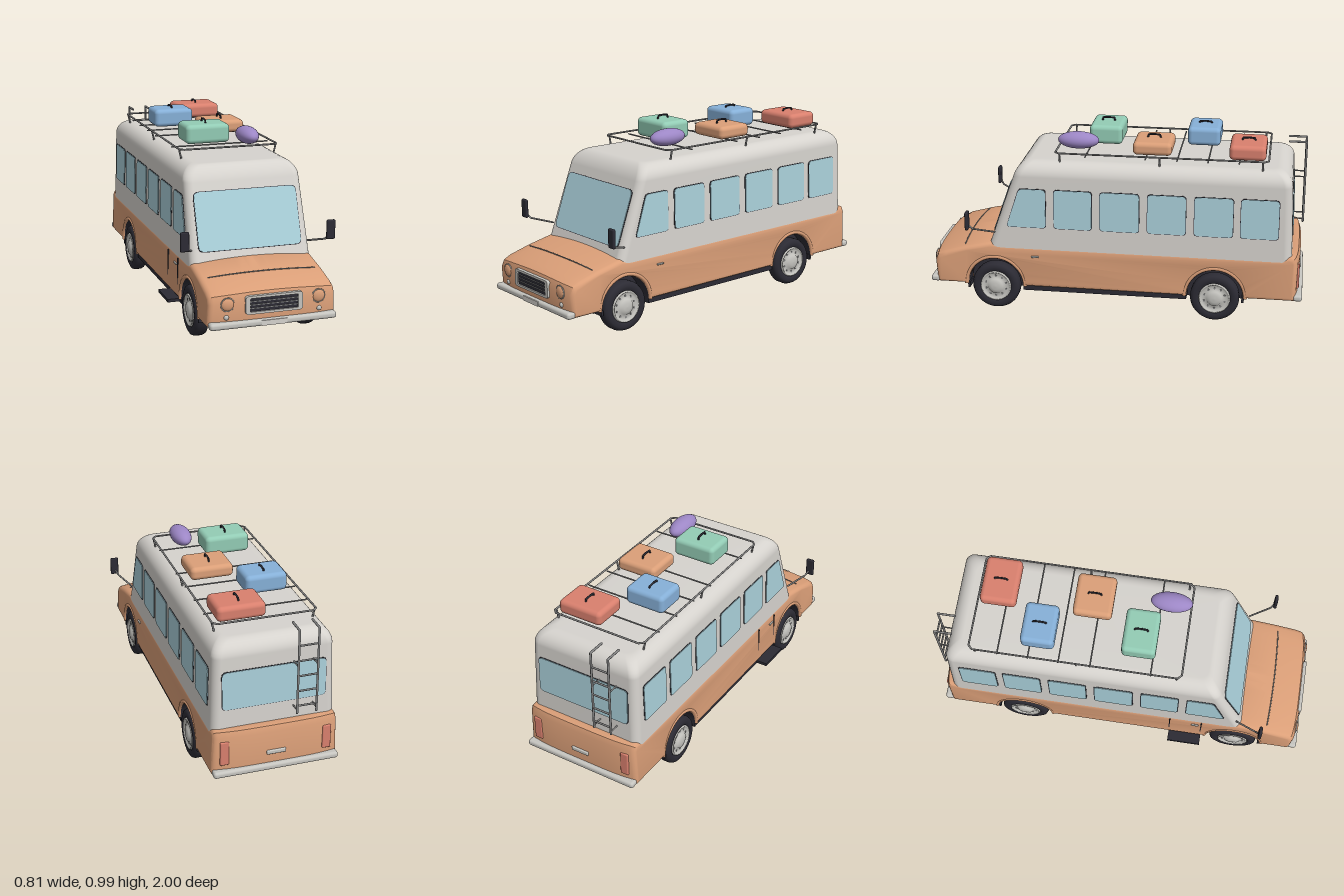
import * as THREE from 'three';
import { toCreasedNormals } from 'three/addons/utils/BufferGeometryUtils.js';
import { RoundedBoxGeometry } from 'three/addons/geometries/RoundedBoxGeometry.js';

const paint = (name, color) => Object.assign(new THREE.MeshStandardMaterial({ color }), { name });
const M = {
  orange: paint('bodyOrange', 0xdb9f78), white: paint('cabinGrey', 0xd6d3ce), glass: paint('glassBlue', 0xaad0da),
  dark: paint('darkRubber', 0x2c2b34), metal: paint('rackMetal', 0x858585), chrome: paint('trimSilver', 0xc6c5c0),
  red: paint('caseRed', 0xd9806e), blue: paint('caseBlue', 0x86b0d8), green: paint('caseGreen', 0x93ccb5),
  purple: paint('bagPurple', 0x9d87c6),
};
M.glass.side = THREE.DoubleSide;
M.dark.side = THREE.DoubleSide;

export function createModel() {
  const root = new THREE.Group();
  root.name = 'camperBus';
  const V = (x, y, z) => new THREE.Vector3(x, y, z);

  const add = (name, geo, mat, x = 0, y = 0, z = 0, parent = root) => {
    const m = new THREE.Mesh(geo, mat);
    m.name = name;
    m.position.set(x, y, z);
    parent.add(m);
    return m;
  };
  const block = (name, mat, size, pos, r = 0, parent = root) =>
    add(name, r ? new RoundedBoxGeometry(...size, 4, r) : new THREE.BoxGeometry(...size), mat, ...pos, parent);
  // Round tube along straight segments through the points
  const pipe = (name, mat, pts, r, closed = false, parent = root) => {
    const path = new THREE.CurvePath();
    const n = closed ? pts.length : pts.length - 1;
    for (let i = 0; i < n; i++) path.add(new THREE.LineCurve3(pts[i], pts[(i + 1) % pts.length]));
    for (const c of path.curves) add(name, new THREE.TubeGeometry(c, 1, r, 8), mat, 0, 0, 0, parent);
    for (const p of pts) add(name + 'Joint', new THREE.SphereGeometry(r, 8, 6), mat, p.x, p.y, p.z, parent);
  };
  // Polygon with rounded corners
  const roundedPoly = (pts, r) => {
    const s = new THREE.Shape(), v = pts.map(p => new THREE.Vector2(...p));
    v.forEach((p, i) => {
      const a = v[(i + v.length - 1) % v.length], b = v[(i + 1) % v.length];
      const p0 = p.clone().add(a.clone().sub(p).setLength(r)), p1 = p.clone().add(b.clone().sub(p).setLength(r));
      i ? s.lineTo(p0.x, p0.y) : s.moveTo(p0.x, p0.y);
      s.quadraticCurveTo(p.x, p.y, p1.x, p1.y);
    });
    return s.closePath();
  };
  const plate = (shape, depth) => new THREE.ExtrudeGeometry(shape, { depth, bevelEnabled: false, curveSegments: 6 });

  // Lower body: side profile with wheel arches, extruded across the width
  const wheelZ = [0.64, -0.54], archY = 0.14;
  const side = new THREE.Shape().moveTo(-0.975, archY);
  for (const z of wheelZ) side.lineTo(-z - 0.15, archY).absarc(-z, archY, 0.15, Math.PI, 0, true);
  [[0.975, 0.14], [0.98, 0.35], [0.97, 0.38], [0.935, 0.385], [0.9, 0.37], [-0.6, 0.37], [-0.66, 0.377],
    [-0.8, 0.347], [-0.93, 0.315], [-0.97, 0.295], [-0.985, 0.26]].forEach(p => side.lineTo(...p));
  const bodyGeo = new THREE.ExtrudeGeometry(side, { depth: 0.61, steps: 12, curveSegments: 16,
    bevelThickness: 0.025, bevelSize: 0.02, bevelOffset: -0.02, bevelSegments: 4 });
  bodyGeo.translate(0, 0, -0.305).rotateY(Math.PI / 2);
  const bp = bodyGeo.attributes.position;
  for (let i = 0; i < bp.count; i++) {
    const x = bp.getX(i), y = bp.getY(i), z = bp.getZ(i), k = (x / 0.33) ** 2;
    if (z > 0.62 && y > 0.24) bp.setY(i, y + 0.018 * (1 - k) * Math.min(1, (y - 0.24) / 0.06));
    if (Math.abs(z) > 0.9) bp.setZ(i, z - Math.sign(z) * 0.018 * k * k);
    bp.setX(i, x * (1 - 0.03 * (y - 0.14) / 0.23));
  }
  add('lowerBody', toCreasedNormals(bodyGeo, 0.6), M.orange);

  // Upper cabin: rounded rectangles stacked upward, sloping at the front
  const zFront = y => 0.66 - 0.355 * (y - 0.4), zBack = y => -0.935 + 0.03 * (y - 0.37);
  const halfW = y => 0.319 - 0.026 * (y - 0.37);
  const levels = [[0.345, 0], [0.55, 0]], R = 0.08;
  for (let i = 0; i <= 8; i++) {
    const a = i / 8 * Math.PI / 2;
    levels.push([0.835 - R + R * Math.sin(a), R * (1 - Math.cos(a))]);
  }
  const pos = [], idx = [], N = 28;
  for (const [y, inset] of levels) {
    const w = halfW(y) - inset, f = zFront(y) - inset * 0.7, b = zBack(y) + inset, r = 0.042;
    [[w, f, 0], [-w, f, 1], [-w, b, 2], [w, b, 3]].forEach(([x, z, q]) => {
      for (let k = 0; k < 7; k++) {
        const a = (q + k / 6) * Math.PI / 2;
        pos.push(x - Math.sign(x) * r + r * Math.cos(a), y, z - (z === f ? r : -r) + r * Math.sin(a));
      }
    });
  }
  for (let i = 0; i < levels.length - 1; i++) for (let j = 0; j < N; j++) {
    const a = i * N + j, b = i * N + (j + 1) % N;
    idx.push(a, a + N, b, b, a + N, b + N);
  }
  const top = (levels.length - 1) * N;
  pos.push(0, 0.837, -0.2);
  for (let j = 0; j < N; j++) idx.push(top + N, top + (j + 1) % N, top + j);
  const cabinGeo = new THREE.BufferGeometry();
  cabinGeo.setAttribute('position', new THREE.Float32BufferAttribute(pos, 3));
  cabinGeo.setIndex(idx);
  cabinGeo.computeVertexNormals();
  add('upperCabin', cabinGeo, M.white);

  // Windows: glass plate over a slightly larger dark seal
  const windowOn = (name, pts, r, place, yaw, tilt) => {
    const g = new THREE.Group();
    g.name = name;
    g.position.copy(place);
    g.rotation.set(-tilt, yaw, 0, 'YXZ');
    root.add(g);
    const cx = pts.reduce((s, p) => s + p[0], 0) / pts.length;
    const bigger = pts.map(([x, y]) => [x + Math.sign(x - cx) * 0.003, y + Math.sign(y) * 0.003]);
    add(name + 'Seal', plate(roundedPoly(bigger, r), 0.005), M.dark, 0, 0, -0.003, g);
    add(name + 'Glass', plate(roundedPoly(pts, r), 0.008), M.glass, 0, 0, -0.003, g);
  };
  const rect = (w, h) => [[-w, -h], [w, -h], [w, h], [-w, h]];
  windowOn('windshield', rect(0.271, 0.149), 0.03, V(0, 0.57, zFront(0.57)), 0, Math.atan(0.355));
  windowOn('rearWindow', rect(0.265, 0.1), 0.025, V(0, 0.585, zBack(0.585)), Math.PI, 0.03);
  const spans = [[0.57, 0.36, 0.5], [0.315, 0.115], [0.07, -0.135], [-0.18, -0.38], [-0.425, -0.625], [-0.665, -0.86]];
  for (const s of [1, -1]) for (const [f, b, t = f] of spans)
    windowOn('sideWindow', [[-s * f, -0.105], [-s * b, -0.105], [-s * b, 0.105], [-s * t, 0.105]], 0.02,
      V(s * halfW(0.585), 0.585, 0), s * Math.PI / 2, 0.026);

  // Underside
  block('chassis', M.dark, [0.48, 0.19, 1.48], [0, 0.2, 0.045]);
  block('sill', M.dark, [0.63, 0.03, 0.88], [0, 0.13, 0.05]);
  block('doorStep', M.dark, [0.13, 0.016, 0.18], [-0.315, 0.128, 0.37]);

  // Wheels, arch liners and fender lips
  const lathe = pts => new THREE.LatheGeometry(pts.map(p => new THREE.Vector2(...p)), 36);
  const tyreGeo = lathe([[0, -0.037], [0.11, -0.037], [0.124, -0.03], [0.13, -0.016], [0.13, 0.016], [0.124, 0.03],
    [0.11, 0.037], [0.09, 0.036], [0.08, 0.026]]);
  const hubGeo = lathe([[0.084, 0.028], [0.082, 0.038], [0.075, 0.038], [0.068, 0.028], [0.045, 0.03], [0.04, 0.04],
    [0.02, 0.045], [0, 0.046]]);
  for (const s of [1, -1]) for (const z of wheelZ) {
    const g = new THREE.Group();
    g.name = 'wheel';
    g.position.set(s * 0.288, 0.132, z);
    g.rotation.z = -s * Math.PI / 2;
    root.add(g);
    add('tyre', tyreGeo, M.dark, 0, 0, 0, g);
    add('hubCap', hubGeo, M.chrome, 0, 0, 0, g);
    for (let i = 0; i < 10; i++) {
      const a = i * Math.PI / 5;
      add('hubHole', new THREE.CylinderGeometry(0.006, 0.006, 0.004, 8), M.metal, 0.057 * Math.cos(a), 0.029, 0.057 * Math.sin(a), g);
    }
    const liner = new THREE.CylinderGeometry(0.149, 0.149, 0.085, 24, 1, true, 0, Math.PI);
    add('archLiner', liner.rotateZ(Math.PI / 2), M.dark, s * 0.275, archY, z);
    const lip = new THREE.TorusGeometry(0.161, 0.011, 8, 28, Math.PI).rotateY(Math.PI / 2);
    add('fenderLip', lip, M.orange, s * 0.318, archY, z);
    block('mudFlap', M.dark, [0.08, 0.03, 0.012], [s * 0.28, 0.13, z + (z > 0 ? 0.148 : -0.148)]);
  }

  // Bumpers and plates
  for (const s of [1, -1]) block('bumper', M.chrome, [0.65, 0.034, 0.05], [0, 0.157, s * 0.973], 0.014);
  block('frontPlate', M.white, [0.13, 0.026, 0.006], [0, 0.157, 0.997]);
  block('tailgateHandle', M.chrome, [0.1, 0.022, 0.014], [0, 0.235, -0.98], 0.005);

  // Grille
  const frame = roundedPoly(rect(0.146, 0.046), 0.018);
  frame.holes.push(roundedPoly(rect(0.123, 0.034), 0.006));
  add('grilleFrame', plate(frame, 0.018), M.chrome, 0, 0.25, 0.976);
  block('grillePanel', M.dark, [0.25, 0.07, 0.01], [0, 0.25, 0.982]);
  for (let i = -1; i <= 1; i++) block('grilleBar', M.metal, [0.244, 0.004, 0.006], [0, 0.25 + i * 0.017, 0.988]);

  // Lights, mirrors and door handles, mirrored
  for (const s of [1, -1]) {
    add('headlight', new THREE.SphereGeometry(0.032, 20, 12).scale(1, 1, 0.4), M.orange, s * 0.233, 0.26, 0.977);
    add('headlightRing', new THREE.TorusGeometry(0.033, 0.003, 8, 24), M.chrome, s * 0.233, 0.26, 0.978);
    add('turnLight', new THREE.SphereGeometry(0.013, 12, 8).scale(1, 1, 0.7), M.chrome, s * 0.238, 0.195, 0.974);
    block('tailLight', M.red, [0.045, 0.13, 0.02], [s * 0.265, 0.265, -0.968], 0.006);
    block('mirror', M.dark, [0.046, 0.1, 0.018], [s * 0.381, 0.525, 0.768], 0.008);
    pipe('mirrorArm', M.metal, [V(s * 0.31, 0.44, 0.64), V(s * 0.362, 0.472, 0.745), V(s * 0.378, 0.5, 0.765)], 0.005);
    block('doorHandle', M.chrome, [0.01, 0.009, 0.04], [s * 0.327, 0.315, 0.42], 0.003);
  }
  for (const z of [0.28, 0.455]) block('doorSeam', M.dark, [0.006, 0.2, 0.006], [-0.324, 0.25, z]);

  // Bonnet seam following the curved hood
  const seam = Array.from({ length: 9 }, (_, i) => {
    const x = -0.28 + i * 0.07, k = (x / 0.33) ** 2;
    return V(x, 0.344 + 0.018 * (1 - k), 0.82 - 0.012 * k);
  });
  add('bonnetSeam', new THREE.TubeGeometry(new THREE.CatmullRomCurve3(seam), 24, 0.003, 6), M.metal);

  // Roof rack
  const railY = 0.88, zf = 0.315, zr = -0.795, rx = 0.265, c = 0.02;
  pipe('rackRail', M.metal, [V(rx, railY, zf - c), V(rx - c, railY, zf), V(c - rx, railY, zf), V(-rx, railY, zf - c),
    V(-rx, railY, zr + c), V(c - rx, railY, zr), V(rx - c, railY, zr), V(rx, railY, zr + c)], 0.005, true);
  for (const z of [0.155, -0.16, -0.325, -0.485, -0.645]) pipe('rackSlat', M.metal, [V(-rx, 0.865, z), V(rx, 0.865, z)], 0.004);
  for (const s of [1, -1]) for (const z of [0.29, -0.235, -0.765])
    pipe('rackPost', M.metal, [V(s * rx, railY, z), V(s * 0.252, 0.825, z)], 0.005);

  // Luggage: centre x, centre z, width, length, top, handle top
  [['red', 0.115, -0.685, 0.25, 0.19, 0.95, 0.968], ['blue', -0.1, -0.443, 0.22, 0.175, 0.97, 0.985],
    ['orange', 0.108, -0.19, 0.228, 0.205, 0.941, 0.963], ['green', -0.066, 0.078, 0.24, 0.178, 0.973, 0.995],
  ].forEach(([color, x, z, w, l, t, h]) => {
    block(color + 'Suitcase', M[color], [w, t - 0.872, l], [x, (t + 0.872) / 2, z], 0.024);
    pipe('suitcaseHandle', M.dark, [V(x, t - 0.005, z - 0.035), V(x, h - 0.007, z - 0.03), V(x, h - 0.004, z),
      V(x, h - 0.007, z + 0.03), V(x, t - 0.005, z + 0.035)], 0.005);
  });
  add('duffelBag', new THREE.SphereGeometry(1, 28, 18).scale(0.054, 0.045, 0.11), M.purple, 0.133, 0.917, 0.21);

  // Rear ladder
  for (const x of [-0.2, -0.1]) {
    pipe('ladderRail', M.metal, [V(x, 0.885, -0.895), V(x, 0.885, -0.985), V(x, 0.435, -0.985)], 0.006);
    for (const y of [0.69, 0.45]) pipe('ladderBracket', M.metal, [V(x, y, -0.985), V(x, y, -0.92)], 0.004);
  }
  for (let i = 0; i < 5; i++) pipe('ladderRung', M.metal, [V(-0.2, 0.475 + i * 0.082, -0.985), V(-0.1, 0.475 + i * 0.082, -0.985)], 0.005);

  return root;
}
